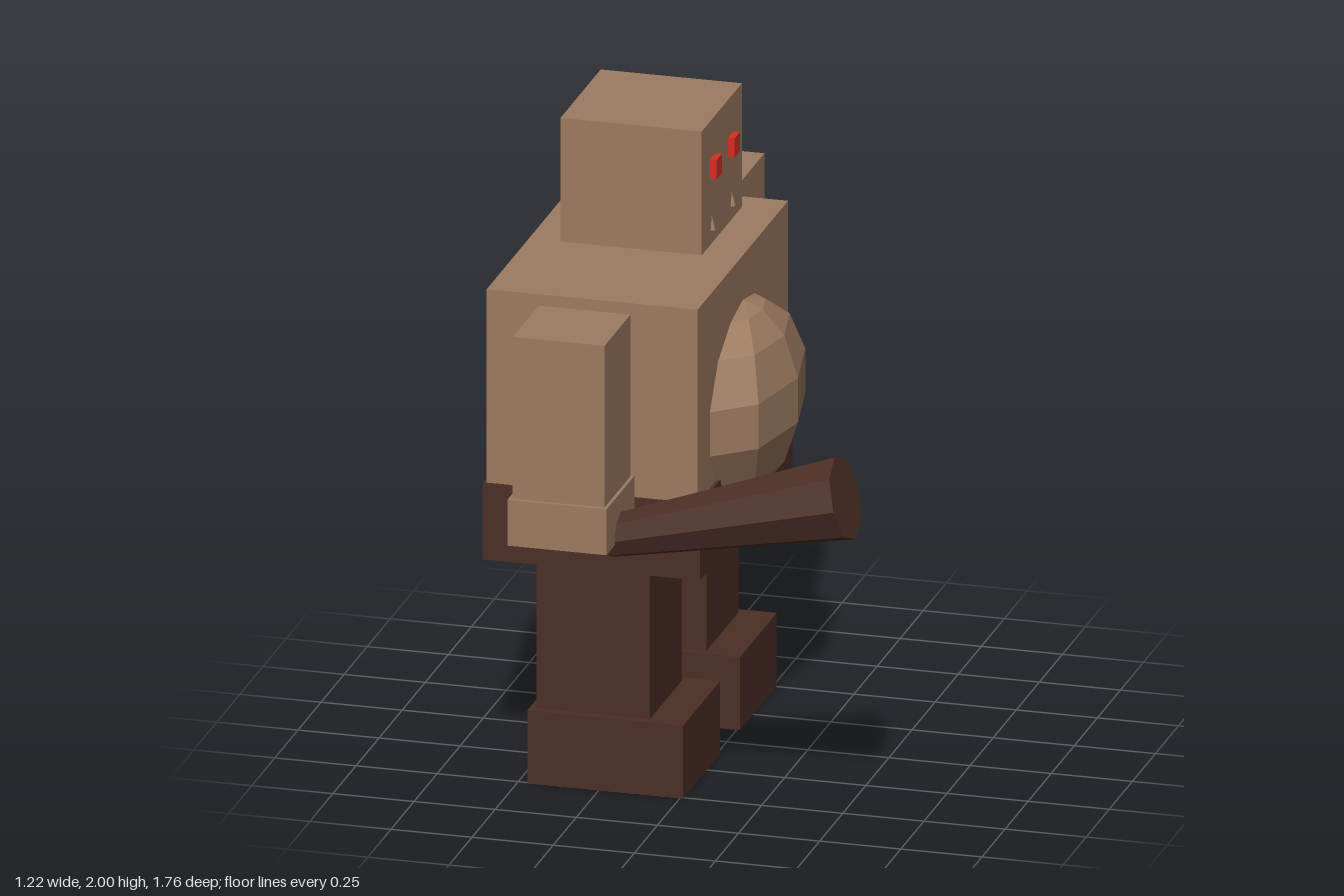
import * as THREE from 'three';

export function createModel() {
  const model = new THREE.Group();
  model.name = 'blockOgre';

  const material = (name, color) => {
    const m = new THREE.MeshStandardMaterial({ color, flatShading: true });
    m.name = name;
    return m;
  };
  const skin = material('tan skin', 0x9c7a60);
  const cloth = material('dark brown', 0x4c2f26);
  const red = material('red eyes', 0xd62d22);

  const add = (name, geometry, mat, x, y, z) => {
    const mesh = new THREE.Mesh(geometry, mat);
    mesh.name = name;
    mesh.position.set(x, y, z);
    model.add(mesh);
    return mesh;
  };
  // Box from its limits along x and y, and its depth about a centre in z
  const box = (name, mat, x0, x1, y0, y1, z, depth) =>
    add(name, new THREE.BoxGeometry(x1 - x0, y1 - y0, depth), mat, (x0 + x1) / 2, (y0 + y1) / 2, z);

  // Head and body; the figure looks along +x
  box('head', skin, -0.45, -0.015, 1.61, 2, 0, 0.435);
  box('torso', skin, -0.6, 0.05, 0.93, 1.54, 0, 0.98);
  box('hips', cloth, -0.61, 0.06, 0.69, 0.93, 0, 1.0);

  // Faceted belly bulging from the torso
  const profile = [[0, -0.3], [0.13, -0.275], [0.268, -0.2], [0.358, -0.07],
    [0.358, 0.07], [0.268, 0.2], [0.13, 0.275], [0, 0.3]].map(([r, y]) => new THREE.Vector2(r, y));
  const belly = new THREE.LatheGeometry(profile, 8);
  belly.scale(0.17 / 0.358, 1, 1);
  add('belly', belly, skin, 0.05, 1.1, 0);

  // Paired parts
  for (const [side, s] of [['near', 1], ['far', -1]]) {
    box(side + 'Arm', skin, -0.413, -0.13, 1.03, 1.54, s * 0.725, 0.282);
    box(side + 'Hand', skin, -0.425, -0.12, 0.885, 1.03, s * 0.727, 0.304);
    box(side + 'Leg', cloth, -0.45, -0.1, 0.23, 0.69, s * 0.307, 0.346);
    box(side + 'Foot', cloth, -0.47, 0.01, 0, 0.23, s * 0.307, 0.4);
    box(side + 'Eye', red, -0.02, 0.005, 1.82, 1.88, s * 0.098, 0.057);
    add(side + 'Tusk', new THREE.ConeGeometry(0.014, 0.047, 6), skin, -0.016, 1.677, s * 0.108);
  }

  // Tapered club held in one hand, swung slightly upward
  const grip = new THREE.Vector3(-0.16, 0.886, 0.725);
  const tip = new THREE.Vector3(0.572, 1.08, 0.725);
  const axis = tip.clone().sub(grip);
  const middle = grip.clone().add(tip).multiplyScalar(0.5);
  const club = add('club', new THREE.CylinderGeometry(0.13, 0.064, axis.length(), 8), cloth,
    middle.x, middle.y, middle.z);
  club.quaternion.setFromUnitVectors(new THREE.Vector3(0, 1, 0), axis.normalize());

  return model;
}
